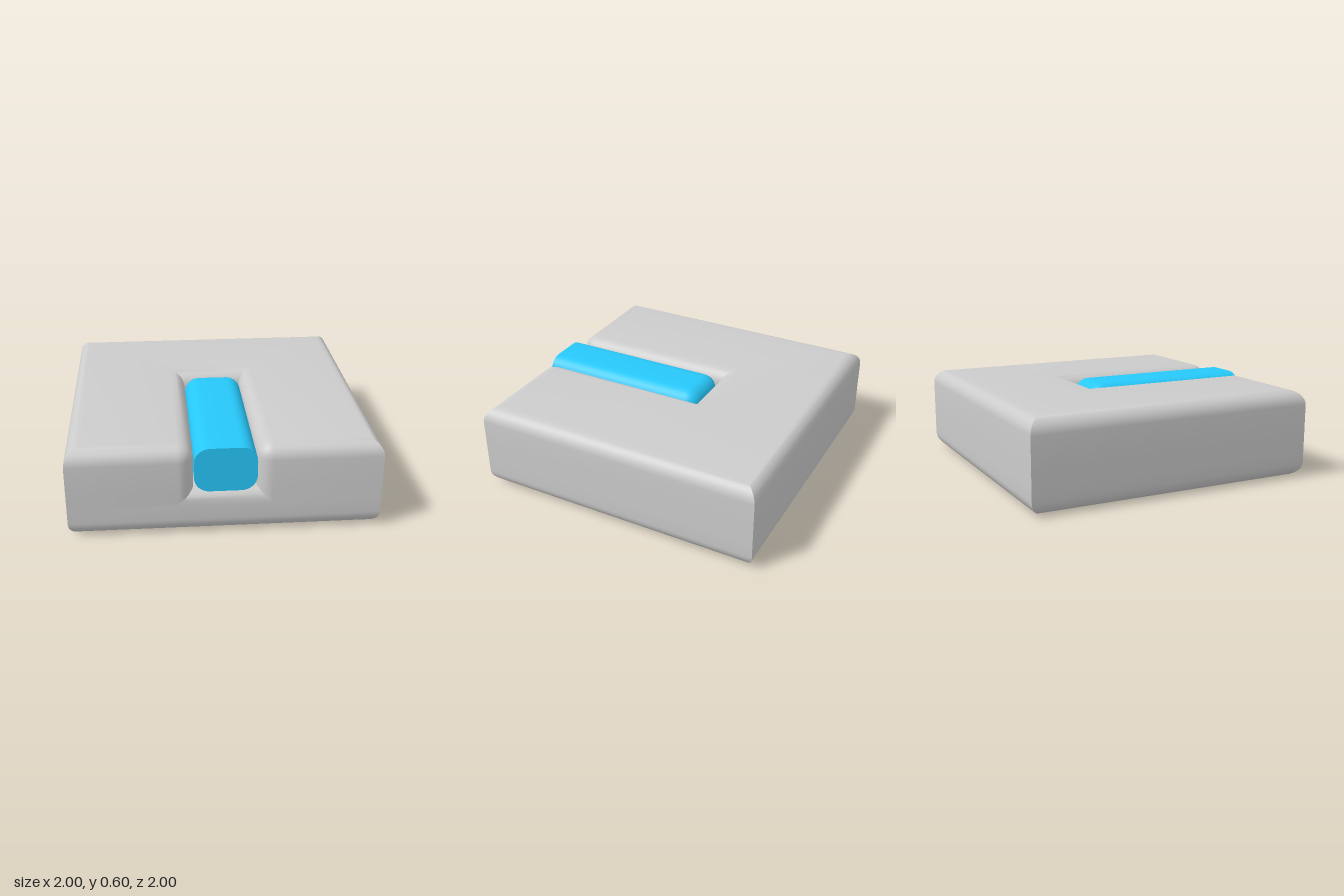
import * as THREE from 'three';
import { toCreasedNormals } from 'three/addons/utils/BufferGeometryUtils.js';

const R = 0.1;   // edge radius everywhere
const N = 8;     // segments per rounded edge
const Q = Math.PI / 2;
const steps = Array.from({ length: N + 1 }, (_, i) => (i / N) * Q);

// Joins equal-length loops (anticlockwise seen from the far end), then adds cap polygons.
function loft(rings, caps) {
  const pos = [];
  const tri = (a, b, c) => {
    const area = new THREE.Triangle(a, b, c).getArea();
    if (area > 1e-8) pos.push(...a.toArray(), ...b.toArray(), ...c.toArray());
  };
  for (let i = 0; i + 1 < rings.length; i++) {
    const lo = rings[i], hi = rings[i + 1], n = lo.length;
    for (let j = 0; j < n; j++) {
      const k = (j + 1) % n;
      tri(lo[j], lo[k], hi[k]);
      tri(lo[j], hi[k], hi[j]);
    }
  }
  for (const cap of caps) {
    for (let j = 1; j + 1 < cap.length; j++) tri(cap[0], cap[j], cap[j + 1]);
  }
  const geometry = new THREE.BufferGeometry();
  geometry.setAttribute('position', new THREE.Float32BufferAttribute(pos, 3));
  return toCreasedNormals(geometry, 0.6);
}

// Slab outline at height y: inset by t, slot mouth rounding cut off below angle aMin.
function slabRing(y, t, aMin, slotOpen) {
  const r = R - t;
  const arc = steps.map((s) => {
    const a = Math.max(s, aMin);
    return new THREE.Vector3(0.3 - r * Math.cos(a), y, 0.9 + r * Math.sin(a));
  });
  const inner = arc[0].clone();
  if (slotOpen) inner.z = -0.2 - t;
  const half = [inner, ...arc, new THREE.Vector3(1 - t, y, 1 - t), new THREE.Vector3(1 - t, y, t - 1)];
  const mirrored = half.map((p) => new THREE.Vector3(-p.x, p.y, p.z)).reverse();
  return [...half, ...mirrored];
}

function slabGeometry() {
  const rings = [];
  // rounded bottom edge
  for (const a of steps) rings.push(slabRing(R * (1 - Math.cos(a)), R * (1 - Math.sin(a)), Q, false));
  // front face rolling over into the slot floor
  for (const a of [...steps].reverse()) rings.push(slabRing(0.3 - R * (1 - Math.cos(a)), 0, a, false));
  // slot floor, then walls and rounded top edge
  rings.push(slabRing(0.3, 0, 0, true));
  for (const a of steps) rings.push(slabRing(0.5 + R * Math.sin(a), R * (1 - Math.cos(a)), 0, true));

  const top = rings[rings.length - 1], bottom = rings[0], n = top.length;
  const front = N + 2, back = N + 3;
  const pick = (ring, ...ids) => ids.map((i) => ring[i]);
  return loft(rings, [
    pick(top, 0, 1, front, back),
    pick(top, n - 1 - back, n - 1 - front, n - 2, n - 1),
    pick(top, 0, back, n - 1 - back, n - 1),
    pick(bottom, n - 1 - front, n - 1 - back, back, front),
  ]);
}

// Rounded rectangle section of the bar at depth z, inset by t.
function barRing(z, t) {
  const ring = [];
  const corners = [[1, 1], [-1, 1], [-1, -1], [1, -1]];
  corners.forEach(([sx, sy], q) => {
    for (const a of steps) {
      ring.push(new THREE.Vector3(
        sx * 0.1 + (R - t) * Math.cos(a + q * Q),
        0.45 + sy * 0.05 + (R - t) * Math.sin(a + q * Q),
        z));
    }
  });
  return ring;
}

function barGeometry() {
  // rounded back end, straight run to a flat front
  const rings = steps.map((a) => barRing(-0.1 - R * Math.cos(a), R * (1 - Math.sin(a))));
  rings.push(barRing(1, 0));
  return loft(rings, [[...rings[0]].reverse(), rings[rings.length - 1]]);
}

export function createModel() {
  const group = new THREE.Group();
  const add = (name, geometry, color) => {
    const mesh = new THREE.Mesh(geometry, new THREE.MeshStandardMaterial({ color }));
    mesh.name = name;
    group.add(mesh);
  };
  add('slottedSlab', slabGeometry(), 0xcccccc);
  add('slotBar', barGeometry(), 0x27c8fa);
  return group;
}
